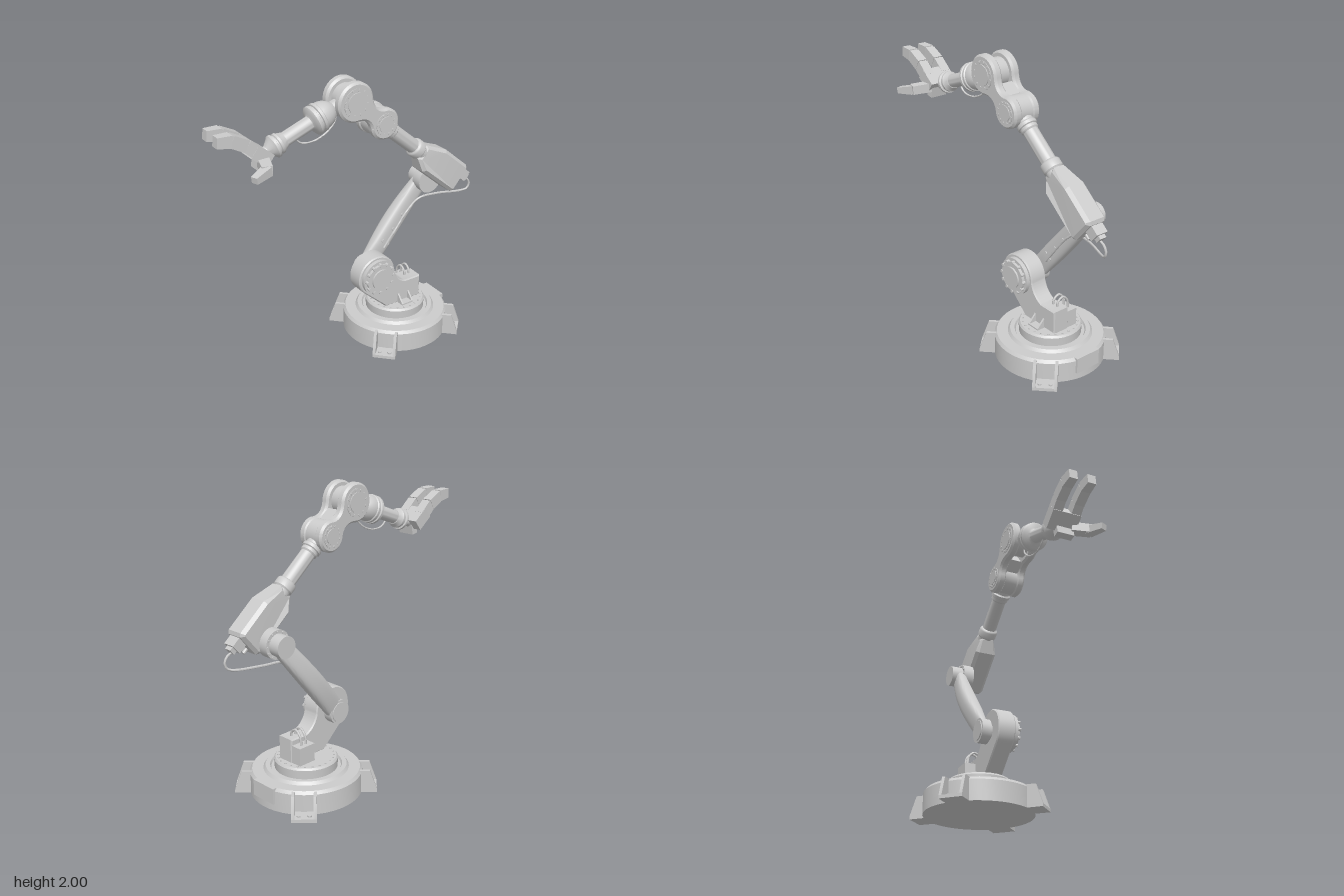
import * as THREE from 'three';
import { toCreasedNormals } from 'three/addons/utils/BufferGeometryUtils.js';

const mat = new THREE.MeshStandardMaterial({ color: 0xcccccc });
const rad = THREE.MathUtils.degToRad;

function add(parent, name, geo, crease = 0.6) {
  const mesh = new THREE.Mesh(toCreasedNormals(geo, crease), mat);
  mesh.name = name;
  parent.add(mesh);
  return mesh;
}
function part(parent, name, x = 0, y = 0, z = 0, angle = 0) {
  const g = new THREE.Group();
  g.name = name;
  g.position.set(x, y, z);
  g.rotation.z = angle;
  parent.add(g);
  return g;
}
function box(parent, name, w, h, d, x, y, z) {
  return add(parent, name, new THREE.BoxGeometry(w, h, d).translate(x, y, z));
}
// Disc along z between z0 and z1
function disc(parent, name, r, z0, z1, x = 0, y = 0, sides = 36) {
  const g = new THREE.CylinderGeometry(r, r, z1 - z0, sides).rotateX(Math.PI / 2);
  return add(parent, name, g.translate(x, y, (z0 + z1) / 2));
}
function boltRing(parent, n, r, size, z0, z1) {
  for (let i = 0; i < n; i++) {
    const a = (i / n) * Math.PI * 2;
    disc(parent, 'bolt', size, z0, z1, r * Math.cos(a), r * Math.sin(a), 8);
  }
}
// Outline in xy, chamfered, filling z0 to z1
function slab(shape, z0, z1, b = 0.01) {
  return new THREE.ExtrudeGeometry(shape, {
    depth: z1 - z0 - 2 * b, bevelEnabled: b > 0, bevelSize: b, bevelThickness: b,
    bevelOffset: -b, bevelSegments: 1, curveSegments: 24,
  }).translate(0, 0, z0 + b);
}
const polygon = (pts) => new THREE.Shape(pts.map((p) => new THREE.Vector2(...p)));
const lathe = (pts, sides = 48) => new THREE.LatheGeometry(pts.map((p) => new THREE.Vector2(...p)), sides);
// Turned part along local x, profile as [radius, x]
const turned = (parent, name, pts) => add(parent, name, lathe(pts, 32).rotateZ(-Math.PI / 2));
function cable(parent, name, pts, r = 0.008) {
  const curve = new THREE.CatmullRomCurve3(pts.map((p) => new THREE.Vector3(...p)));
  add(parent, name, new THREE.TubeGeometry(curve, 40, r, 8), 1.2);
}
// Tapering block from p to q
function segment(parent, name, p, q, width, thick, taper = 1) {
  const a = new THREE.Vector3(...p), b = new THREE.Vector3(...q);
  const geo = new THREE.BoxGeometry(width, thick, a.distanceTo(b));
  const pos = geo.attributes.position;
  for (let i = 0; i < pos.count; i++) {
    if (pos.getZ(i) > 0) pos.setXY(i, pos.getX(i) * taper, pos.getY(i) * taper);
  }
  const mesh = add(parent, name, geo);
  mesh.position.copy(a).add(b).multiplyScalar(0.5);
  mesh.lookAt(b);
}

function buildBase(root) {
  const base = part(root, 'base', 0.415, 0, 0);
  add(base, 'basePlate', lathe([[0, 0], [0.375, 0], [0.375, 0.14], [0.36, 0.16], [0.285, 0.16],
    [0.27, 0.18], [0.24, 0.18], [0.232, 0.165], [0.21, 0.165], [0.213, 0.225], [0.203, 0.238], [0, 0.238]]));
  box(base, 'sidePanel', 0.05, 0.11, 0.19, 0.352, 0.105, 0);
  for (let i = 0; i < 24; i++) {
    const a = (i / 24) * Math.PI * 2;
    add(base, 'turntableBolt', new THREE.CylinderGeometry(0.007, 0.007, 0.008, 8)
      .translate(0.185 * Math.cos(a), 0.24, 0.185 * Math.sin(a)));
  }
  // Four diagonal feet with side gussets
  const gusset = polygon([[0.33, 0], [0.472, 0], [0.472, 0.022], [0.425, 0.155], [0.33, 0.155]]);
  for (let i = 0; i < 4; i++) {
    const foot = part(base, 'foot');
    foot.rotation.y = Math.PI / 4 + (i * Math.PI) / 2;
    box(foot, 'footPlate', 0.152, 0.022, 0.16, 0.396, 0.011, 0);
    for (const s of [-1, 1]) {
      add(foot, 'footGusset', slab(gusset, s * 0.07 - 0.01, s * 0.07 + 0.01, 0));
      add(foot, 'footBolt', new THREE.CylinderGeometry(0.013, 0.013, 0.012, 12).translate(0.435, 0.026, s * 0.035));
    }
  }
}

function buildShoulder(root) {
  const g = part(root, 'shoulder');
  const s = new THREE.Shape();
  s.moveTo(0.565, 0.235);
  s.lineTo(0.565, 0.4);
  s.lineTo(0.43, 0.4);
  s.quadraticCurveTo(0.355, 0.43, 0.335, 0.515);
  s.absarc(0.185, 0.515, 0.15, 0, rad(225), false);
  s.lineTo(0.27, 0.235);
  add(g, 'shoulderBracket', slab(s, -0.025, 0.098, 0.008));
  const hub = part(g, 'shoulderHub', 0.185, 0.515, 0);
  disc(hub, 'hubFlange', 0.13, 0.09, 0.125);
  disc(hub, 'hubDrum', 0.108, 0.12, 0.145);
  disc(hub, 'hubCap', 0.075, 0.14, 0.157);
  boltRing(hub, 12, 0.108, 0.012, 0.12, 0.15);
  // Front gusset foot
  const web = polygon([[0, 0], [0.06, 0], [0.06, 0.01], [0, 0.075]]);
  for (const x of [0.375, 0.46]) {
    add(g, 'bracketGusset', slab(web, -0.006, 0.006, 0).rotateY(-Math.PI / 2).translate(x, 0.235, 0.095));
  }
  box(g, 'bracketFoot', 0.09, 0.012, 0.06, 0.418, 0.242, 0.125);
  // Cable box and its loops
  box(g, 'cableBox', 0.13, 0.125, 0.08, 0.495, 0.298, -0.06);
  for (const x of [0.475, 0.515]) {
    cable(g, 'cableLoop', [[x, 0.35, -0.065], [x, 0.42, -0.055], [x, 0.455, -0.015], [x, 0.43, 0.025], [x, 0.39, 0.03]]);
  }
}

function buildLowerArm(root) {
  const a = new THREE.Vector2(0.2, 0.512), b = new THREE.Vector2(0.683, 1.095);
  const length = a.distanceTo(b), angle = Math.atan2(b.y - a.y, b.x - a.x);
  const g = part(root, 'lowerArm', a.x, a.y, 0, angle - Math.PI / 2);
  disc(g, 'lowerHub', 0.083, -0.105, -0.04);
  disc(g, 'lowerAxle', 0.06, -0.05, 0);
  disc(g, 'lowerCap', 0.068, -0.112, -0.1);
  // Rounded beam bulging to the rear
  const beam = new THREE.CylinderGeometry(1, 1, 1, 32, 16);
  const pos = beam.attributes.position;
  const soft = (v, p) => Math.sign(v) * Math.abs(v) ** p;
  for (let i = 0; i < pos.count; i++) {
    const t = pos.getY(i) + 0.5;
    const swell = Math.sin(Math.PI * t);
    const front = -0.045 + 0.015 * Math.min(1, t * 4), back = -0.095 - 0.043 * swell;
    const w = 0.068 + 0.008 * swell - 0.008 * t;
    pos.setXYZ(i, w * soft(pos.getX(i), 0.75), t * length,
      (front + back) / 2 + ((front - back) / 2) * soft(pos.getZ(i), 0.6));
  }
  add(g, 'lowerArmBeam', beam, 0.9);
  for (const [x, y] of [[-0.02, 0.22], [0.025, 0.22], [0, 0.33], [0, 0.45]]) {
    disc(g, 'armBolt', 0.014, -0.04, -0.024, x, y, 12);
  }
  const top = part(root, 'elbow', b.x, b.y, 0);
  disc(top, 'elbowFlange', 0.095, -0.055, 0.02);
  disc(top, 'elbowCap', 0.072, -0.135, -0.05);
  boltRing(top, 12, 0.083, 0.008, -0.062, -0.05);
}

function buildUpperArm(root) {
  const g = part(root, 'upperArm', 0.168, 1.678, 0.085, rad(-40));
  turned(g, 'upperArmRod', [[0, 0.05], [0.056, 0.05], [0.056, 0.1], [0.066, 0.11], [0.066, 0.13], [0.058, 0.135],
    [0.058, 0.155], [0.05, 0.165], [0.05, 0.39], [0.06, 0.395], [0.066, 0.405], [0.066, 0.45], [0.058, 0.46], [0.058, 0.49], [0, 0.49]]);
  const housing = slab(polygon([[0.46, -0.055], [0.545, -0.108], [0.87, -0.108], [0.89, -0.09],
    [0.89, 0.09], [0.87, 0.108], [0.62, 0.108], [0.46, 0.055]]), -0.077, 0.077, 0.022);
  const pos = housing.attributes.position;
  for (let i = 0; i < pos.count; i++) if (pos.getX(i) < 0.51) pos.setZ(i, pos.getZ(i) * 0.72);
  add(g, 'upperArmHousing', housing, 0.2);
  box(g, 'cablePlug', 0.07, 0.075, 0.085, 0.92, 0.045, 0);
  box(g, 'plugTip', 0.03, 0.045, 0.05, 0.965, 0.045, 0);
  for (const y of [-0.05, -0.02]) turned(g, 'plugPin', [[0, 0.88], [0.012, 0.88], [0.012, 0.925], [0, 0.925]]).position.y = y;
  cable(root, 'armCable', [[0.92, 1.075, 0.085], [0.965, 1.06, 0.085], [0.989, 1.02, 0.085], [0.975, 0.98, 0.08],
    [0.93, 0.966, 0.06], [0.76, 0.965, 0], [0.62, 0.955, -0.02], [0.52, 0.88, -0.022], [0.43, 0.77, -0.022], [0.33, 0.64, -0.028]]);
}

function buildLink(root) {
  const len = 0.292;
  const g = part(root, 'jointLink', -0.056, 1.866, 0.0875, Math.atan2(-0.188, 0.224));
  const s = new THREE.Shape();
  s.absarc(0, 0, 0.13, rad(45), rad(315), false);
  s.quadraticCurveTo(0.155, -0.03, len - 0.074, -0.074);
  s.absarc(len, 0, 0.105, rad(225), rad(495), false);
  s.quadraticCurveTo(0.155, 0.03, 0.092, 0.092);
  add(g, 'linkPlate', slab(s, 0.04, 0.1, 0.014));
  add(g, 'linkPlate', slab(s, -0.1, -0.04, 0.014));
  box(g, 'linkCore', 0.17, 0.1, 0.09, 0.2, 0, 0);
  disc(g, 'linkCoreEnd', 0.098, -0.045, 0.045, len);
  disc(g, 'forearmPivot', 0.08, -0.045, 0.045);
  // Joint caps with bolt circles on both faces
  for (const [x, r] of [[0, 0.094], [len, 0.074]]) {
    const caps = part(g, 'jointCaps', x);
    disc(caps, 'jointRing', r, -0.104, 0.104);
    disc(caps, 'jointCap', r * 0.72, -0.109, 0.109);
    boltRing(caps, 12, r * 0.88, 0.008, -0.108, 0.108);
  }
}

function buildForearm(root) {
  const g = part(root, 'forearm', -0.056, 1.866, 0.083, rad(200.3));
  turned(g, 'forearmShaft', [[0, 0.04], [0.045, 0.04], [0.045, 0.12], [0.06, 0.135], [0.078, 0.16], [0.088, 0.19],
    [0.09, 0.215], [0.097, 0.22], [0.097, 0.238], [0.088, 0.242], [0.088, 0.25], [0.097, 0.254], [0.097, 0.272],
    [0.085, 0.282], [0.06, 0.287], [0.046, 0.295], [0.046, 0.51], [0, 0.51]]);
  turned(g, 'wrist', [[0, 0.49], [0.05, 0.49], [0.06, 0.515], [0.068, 0.525], [0.068, 0.54], [0.062, 0.545], [0.062, 0.552],
    [0.074, 0.556], [0.074, 0.572], [0.06, 0.585], [0.034, 0.62], [0.034, 0.69], [0, 0.69]]);
  cable(root, 'forearmCable', [[-0.14, 1.79, 0.083], [-0.15, 1.735, 0.083], [-0.22, 1.67, 0.083],
    [-0.32, 1.638, 0.083], [-0.4, 1.65, 0.083], [-0.45, 1.7, 0.083]], 0.006);
}

function buildHand(root) {
  const g = part(root, 'hand');
  segment(g, 'palm', [-0.66, 1.625, 0.08], [-0.765, 1.705, 0.08], 0.2, 0.085);
  segment(g, 'palmHeel', [-0.68, 1.66, 0.1], [-0.7, 1.555, 0.1], 0.12, 0.05);
  // Two fingers
  for (const z of [0.015, 0.145]) {
    const path = [[-0.73, 1.682, z], [-0.81, 1.753, z], [-0.905, 1.803, z], [-0.998, 1.812, z]];
    for (let i = 0; i < 3; i++) {
      const end = i === 2;
      segment(g, end ? 'fingertip' : 'fingerSegment', path[i], path[i + 1], 0.068, 0.082 - i * 0.002, end ? 0.85 : 0.96);
      if (i) disc(g, 'knuckle', 0.034, z - 0.03, z + 0.03, path[i][0], path[i][1], 16);
    }
  }
  // Thumb
  segment(g, 'thumbSegment', [-0.7, 1.625, 0.15], [-0.74, 1.618, 0.275], 0.07, 0.062, 0.95);
  segment(g, 'thumbTip', [-0.73, 1.618, 0.265], [-0.845, 1.597, 0.31], 0.064, 0.058, 0.7);
}

export function createModel() {
  const root = new THREE.Group();
  root.name = 'roboticArm';
  [buildBase, buildShoulder, buildLowerArm, buildUpperArm, buildLink, buildForearm, buildHand].forEach((f) => f(root));
  return root;
}
